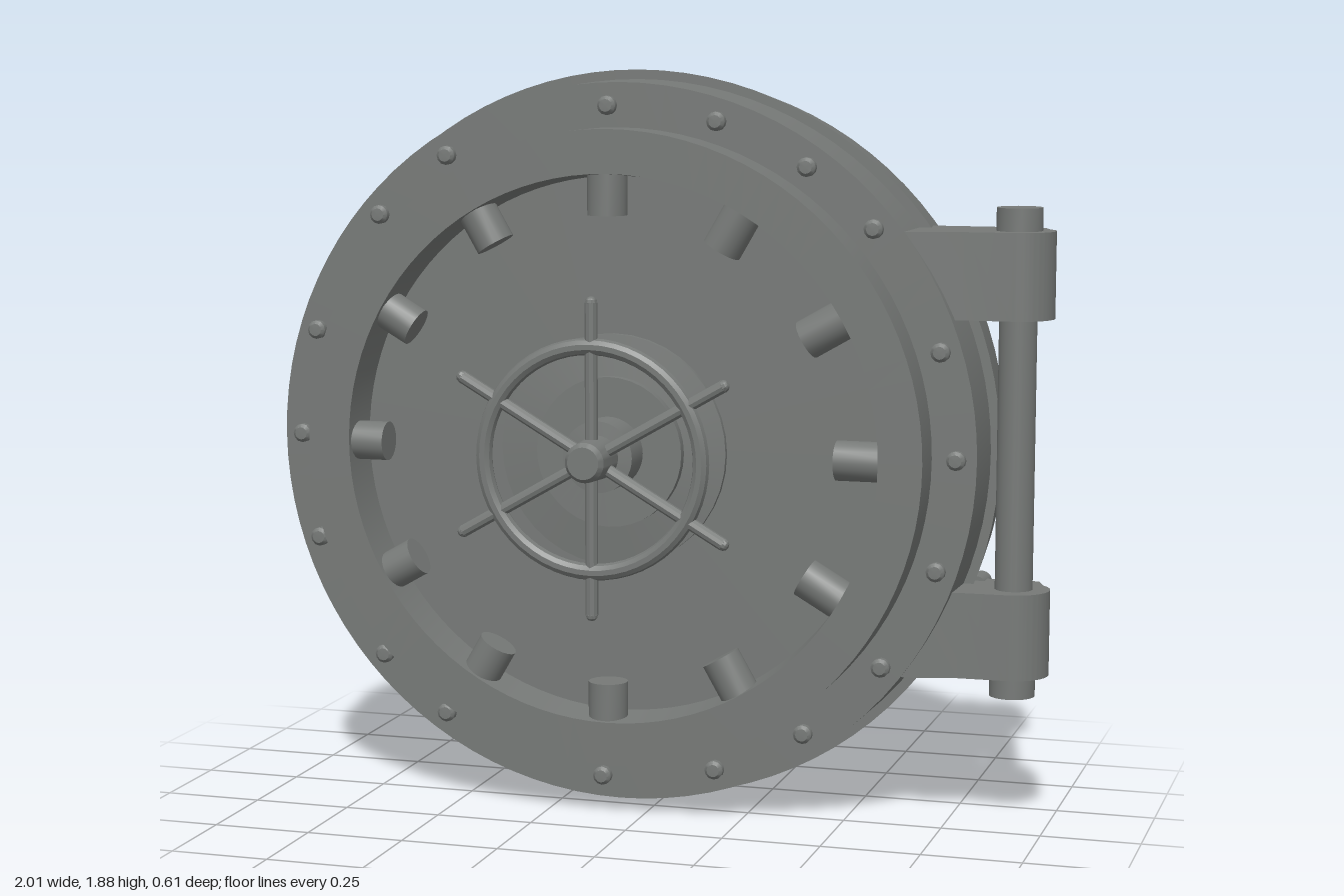
import * as THREE from 'three';
import { toCreasedNormals } from 'three/addons/utils/BufferGeometryUtils.js';

const steel = new THREE.MeshStandardMaterial({ color: 0x767977 });
steel.name = 'steel grey';

const CX = -0.075, CY = 0.94; // door centre
const WX = -0.09, WY = 0.93; // handwheel centre

function add(parent, name, geometry, x = 0, y = 0, z = 0) {
  const mesh = new THREE.Mesh(toCreasedNormals(geometry, 0.6), steel);
  mesh.name = name;
  mesh.position.set(x, y, z);
  parent.add(mesh);
  return mesh;
}

// Turned solid about the z axis from [radius, z] pairs, back to front
function turned(profile, sides) {
  return new THREE.LatheGeometry(profile.map(([r, z]) => new THREE.Vector2(r, z)), sides).rotateX(Math.PI / 2);
}

export function createModel() {
  const model = new THREE.Group();
  model.name = 'vaultDoor';

  // Door body: tapered back plate, flange, raised rim and recessed face
  add(model, 'doorBody', turned([
    [0, -0.3], [0.918, -0.3], [0.94, -0.11], [0.916, -0.11], [0.912, 0.052],
    [0.8, 0.052], [0.8, 0.165], [0.69, 0.165], [0.68, 0.05], [0, 0.05],
  ], 96), CX, CY);

  // Stepped boss and shaft behind the handwheel
  add(model, 'wheelBoss', turned([
    [0.295, 0.04], [0.295, 0.065], [0.19, 0.075], [0.19, 0.1], [0.09, 0.1],
    [0.09, 0.192], [0.055, 0.195], [0.05, 0.295], [0.04, 0.308], [0, 0.308],
  ], 40), WX, WY);

  // Handwheel: rim and six spokes reaching past it
  const wheel = new THREE.Group();
  wheel.name = 'handwheel';
  wheel.position.set(WX, WY, 0.238);
  model.add(wheel);
  add(wheel, 'wheelRim', new THREE.TorusGeometry(0.281, 0.021, 10, 56));
  for (let i = 0; i < 6; i++) {
    const spoke = new THREE.Group();
    spoke.name = 'spoke';
    spoke.rotation.z = i * Math.PI / 3;
    wheel.add(spoke);
    add(spoke, 'spokeBar', new THREE.CylinderGeometry(0.016, 0.016, 0.38, 10), 0, 0.2, 0);
    add(spoke, 'spokeTip', new THREE.SphereGeometry(0.016, 10, 6), 0, 0.389, 0);
  }

  // Twelve locking bolts pointing inwards from the rim
  for (let i = 0; i < 12; i++) {
    const a = i * Math.PI / 6;
    const bolt = add(model, 'lockingBolt', new THREE.CylinderGeometry(0.05, 0.05, 0.13, 20),
      CX - 0.015 + 0.655 * Math.cos(a), CY - 0.005 + 0.655 * Math.sin(a), 0.105);
    bolt.rotation.z = a - Math.PI / 2;
  }

  // Rivets around the flange, at slightly uneven angles in degrees
  const rivetAngles = [0, 18, 41, 56, 73, 92, 122, 138, 161.5, 180, 198.5, 222, 237, 267, 287, 304, 322, 341];
  for (const deg of rivetAngles) {
    const a = deg * Math.PI / 180;
    add(model, 'rivet', turned([[0.024, 0.04], [0.024, 0.068], [0.016, 0.076], [0, 0.077]], 12),
      CX + 0.862 * Math.cos(a), CY + 0.855 * Math.sin(a));
  }

  // Hinge pin with wider capped ends
  const HX = 0.91, HZ = -0.075;
  add(model, 'hingePin', new THREE.CylinderGeometry(0.047, 0.047, 1.1, 24), HX, 0.945, HZ);
  for (const [y0, y1] of [[0.335, 0.42], [1.47, 1.552]]) {
    add(model, 'pinCap', new THREE.CylinderGeometry(0.057, 0.057, y1 - y0, 24), HX, (y0 + y1) / 2, HZ);
  }

  // Hinge arms: round knuckle blended into a block that enters the flange
  const arm = new THREE.Shape();
  arm.moveTo(0.6, 0.048);
  arm.lineTo(0.68, 0.046);
  arm.lineTo(0.79, 0.018);
  arm.lineTo(HX, HZ + 0.09);
  arm.absarc(HX, HZ, 0.09, Math.PI / 2, -Math.PI / 4, true);
  arm.lineTo(0.955, -0.19);
  arm.lineTo(0.6, -0.19);
  arm.closePath();
  for (const y0 of [0.39, 1.28]) {
    const geometry = new THREE.ExtrudeGeometry(arm, { depth: 0.215, bevelEnabled: false, curveSegments: 20 });
    geometry.rotateX(Math.PI / 2); // shape y becomes z, depth runs down
    add(model, 'hingeArm', geometry, 0, y0 + 0.215, 0);
  }

  // Round-headed bolts behind the hinge arms
  for (const y of [0.59, 1.3]) {
    add(model, 'armBolt', new THREE.CylinderGeometry(0.027, 0.027, 0.08, 14).rotateX(Math.PI / 2), 0.8, y, -0.195);
  }

  return model;
}
